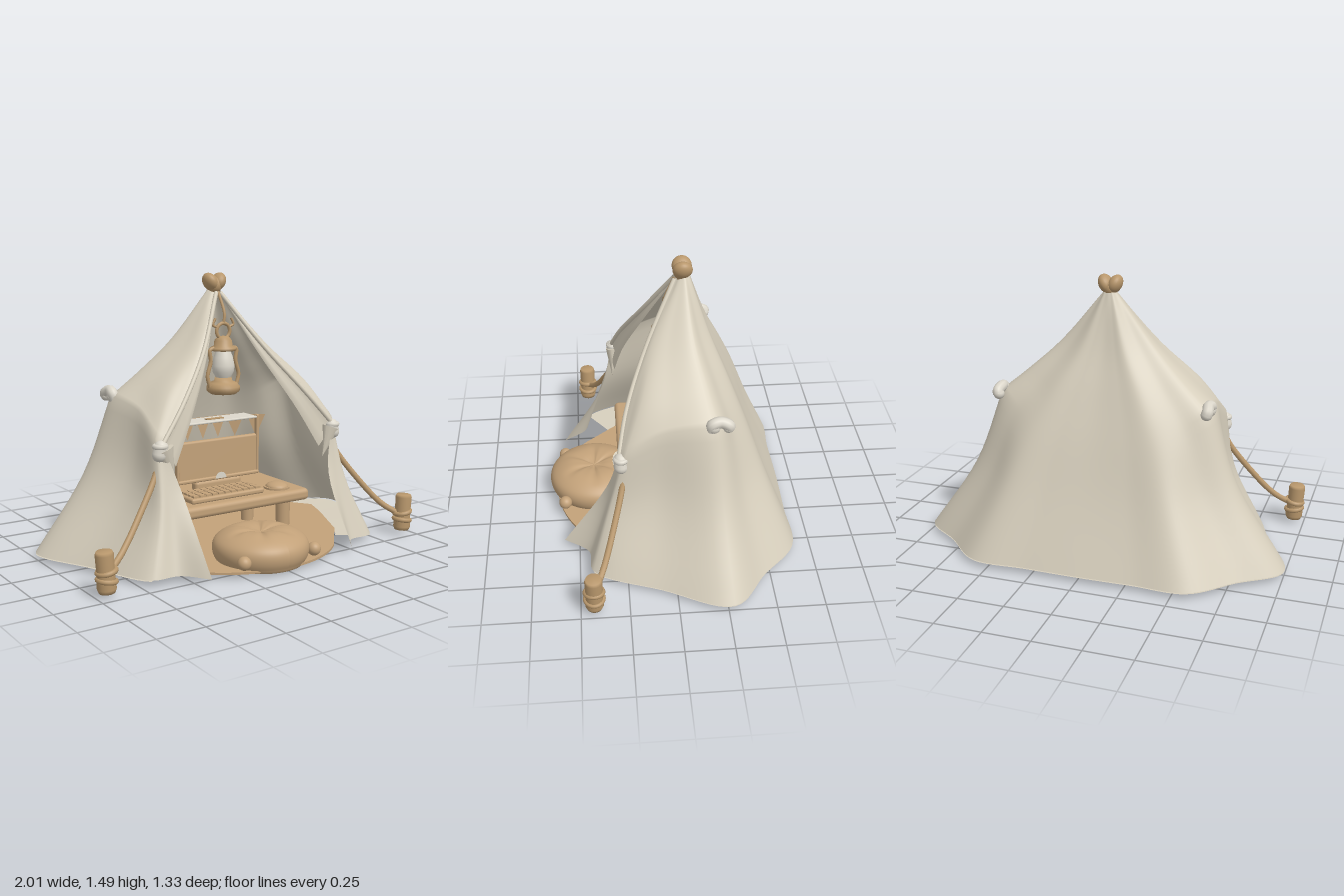
import * as THREE from 'three';
import { RoundedBoxGeometry } from 'three/addons/geometries/RoundedBoxGeometry.js';

const V = (x, y, z) => new THREE.Vector3(x, y, z);
const paint = (color, side = THREE.FrontSide) => new THREE.MeshStandardMaterial({ color, side });
const spline = pts => new THREE.CatmullRomCurve3(pts);

// Seam lines of the tent, from the peak down to the ground (left half, front edge to back centre)
const seams = [
  [V(.012, 1.38, -.05), V(.2, 1.08, .115), V(.39, .84, .225), V(.54, .66, .275), V(.466, .4, .345), V(.447, .03, .58)],
  [V(.02, 1.38, -.06), V(.22, 1.09, .1), V(.41, .86, .2), V(.55, .67, .265), V(.53, .4, .33), V(.55, .03, .45)],
  [V(.03, 1.385, -.07), V(.235, 1.1, .07), V(.44, .89, .155), V(.565, .69, .24), V(.595, .36, .33), V(.7, .03, .43)],
  [V(.035, 1.39, -.085), V(.24, 1.12, 0), V(.455, .92, .02), V(.56, .8, .06), V(.63, .42, .07), V(.86, .03, .08)],
  [V(.035, 1.395, -.1), V(.25, 1.135, -.13), V(.42, .97, -.18), V(.575, .84, -.22), V(.73, .43, -.245), V(1, .03, -.28)],
  [V(.02, 1.4, -.125), V(.115, 1.12, -.22), V(.23, .9, -.315), V(.335, .68, -.405), V(.445, .38, -.51), V(.58, .03, -.65)],
  [V(0, 1.4, -.13), V(0, 1.12, -.21), V(0, .9, -.3), V(0, .68, -.39), V(0, .38, -.505), V(0, .03, -.66)],
];
const between = (a, b) => a.map((p, i) => p.clone().lerp(b[i], .5));
const flip = p => V(-p.x, p.y, p.z);

// Front seams break at the tie height, back seams run smoothly to the ground
const sharp = c => [...spline(c.slice(0, 4)).getPoints(18), ...spline(c.slice(3)).getPoints(12).slice(1)];
const smooth = c => spline(c).getPoints(30);
const half = [
  ...seams.slice(0, 5).map(sharp),
  smooth(between(seams[4], seams[5])), smooth(seams[5]),
  smooth(between(seams[5], seams[6])), smooth(seams[6]),
];
const columns = [...half, ...half.slice(0, -1).reverse().map(c => c.map(flip))];
const tentRows = columns[0].map((_, j) => spline(columns.map(c => c[j])).getPoints(128));

// Skin a list of equally long rows of points
function skin(rows) {
  const n = rows[0].length, pos = [], idx = [];
  rows.forEach(r => r.forEach(p => pos.push(p.x, p.y, p.z)));
  for (let j = 0; j < rows.length - 1; j++) for (let i = 0; i < n - 1; i++) {
    const a = j * n + i, b = a + n;
    idx.push(a, a + 1, b, a + 1, b + 1, b);
  }
  const g = new THREE.BufferGeometry();
  g.setAttribute('position', new THREE.Float32BufferAttribute(pos, 3));
  g.setIndex(idx);
  g.computeVertexNormals();
  return g;
}

export function createModel() {
  const canvas = paint(0xd6cebc, THREE.DoubleSide);
  const pale = paint(0xdcd7cb, THREE.DoubleSide);
  const wood = paint(0xb8976c);
  const tan = paint(0xc2a179, THREE.DoubleSide);
  const root = new THREE.Group();
  const add = (name, geo, mat, x = 0, y = 0, z = 0, parent = root) => {
    const m = new THREE.Mesh(geo, mat);
    m.name = name;
    m.position.set(x, y, z);
    parent.add(m);
    return m;
  };
  const tube = (pts, r, n = 32) => new THREE.TubeGeometry(spline(pts), n, r, 10);
  const ball = r => new THREE.SphereGeometry(r, 24, 16);
  const box = (w, h, d, r) => new RoundedBoxGeometry(w, h, d, 3, r);
  const lathe = (pts, n = 32) => new THREE.LatheGeometry(pts.map(p => new THREE.Vector2(...p)), n);

  // Tent canvas and the turned-in hem on the ground
  add('tentCanvas', skin(tentRows), canvas);
  const base = tentRows[tentRows.length - 1];
  const rim = base.slice(16, 113).map(p => V(p.x, .024, p.z));
  add('groundHem', skin([rim, rim.map(p => V(p.x * .78, .02, (p.z + .1) * .78 - .1))]), canvas);

  // Floor mat: round in front, following the walls behind
  const side = [[.62, .22], [.77, -.1], [.83, -.26], [.7, -.44], [.53, -.58]];
  const arc = Array.from({ length: 25 }, (_, i) => {
    const a = -.75 + 1.5 * i / 24;
    return [Math.sin(a) * .62, Math.cos(a) * .62];
  });
  const outline = [...arc, ...side, ...side.map(([x, z]) => [-x, z]).reverse()];
  const mat = new THREE.ExtrudeGeometry(new THREE.Shape(outline.map(([x, z]) => new THREE.Vector2(x, -z))),
    { depth: .012, bevelEnabled: false });
  add('floorMat', mat.rotateX(-Math.PI / 2), tan, 0, .015, 0);

  // Heart finial on the peak
  for (const s of [-1, 1]) {
    const lobe = add('finialLobe', ball(.05), wood, s * .025, 1.435, -.09);
    lobe.scale.set(.74, 1.05, 1.04);
    lobe.rotation.z = -s * .5;
  }
  const heart = add('finialHeart', ball(.048), wood, 0, 1.418, -.09);
  heart.scale.x = .85;
  add('finialTip', new THREE.CylinderGeometry(.038, .022, .06, 24), wood, 0, 1.385, -.09);

  // Entrance hems, tie-backs, hooks, guy ropes and stakes on both sides
  for (const s of [1, -1]) {
    const rig = new THREE.Group();
    rig.name = s > 0 ? 'leftRigging' : 'rightRigging';
    root.add(rig);
    const at = (x, y, z) => V(s * x, y, z);
    const edge = seams[0].slice(0, 4).map(p => at(p.x, p.y, p.z));
    add('entranceHem', tube(edge, .012), canvas, 0, 0, 0, rig);
    // gathered drape hanging behind the entrance hem
    const drape = [0, 1, 2, 3].map(k => spline(edge.map((p, i) =>
      V(p.x - s * k * .009 * i, p.y - k * .014 * i, p.z - .012 * (k % 2)))).getPoints(24));
    add('gatheredDrape', skin(drape), canvas, 0, 0, 0, rig);
    const tail = add('drapeTail', new THREE.ConeGeometry(.055, .17, 12), canvas, s * .505, .555, .275, rig);
    tail.scale.z = .6;
    tail.rotation.z = Math.PI - s * .35;
    const tie = add('tieBack', new THREE.CapsuleGeometry(.038, .035, 6, 16), pale, s * .55, .625, .265, rig);
    tie.rotation.z = s * .25;
    const band = add('tieBand', new THREE.TorusGeometry(.028, .014, 8, 20), pale, s * .55, .65, .265, rig);
    band.rotation.x = Math.PI / 2;
    // hook folded over the ridge, thicker at the front
    add('canopyHook', tube([at(.565, .825, -.185), at(.575, .858, -.195), at(.57, .868, -.235),
      at(.575, .852, -.275), at(.57, .835, -.28)], .03), pale, 0, 0, 0, rig);
    add('hookFront', ball(.036), pale, s * .567, .842, -.2, rig);
    add('hookBack', ball(.03), pale, s * .57, .838, -.275, rig);
    add('guyRope', tube([at(.55, .59, .25), at(.575, .51, .26), at(.7, .33, .315),
      at(.83, .18, .375), at(.93, .11, .425)], .016), wood, 0, 0, 0, rig);
    const stake = add('stake', lathe([[0, 0], [.04, 0], [.048, .02], [.044, .1], [.046, .19], [.04, .205], [0, .205]], 20),
      wood, s * .942, .02, .43, rig);
    stake.rotation.z = -s * .06;
    [.08, .125].forEach((y, i) => {
      const loop = add('ropeLoop', new THREE.TorusGeometry(.045, .013, 8, 24), wood, s * .943, y, .43, rig);
      loop.rotation.set(Math.PI / 2, i ? .2 : -.15, 0);
    });
  }

  // Lantern hanging from the peak
  const lantern = new THREE.Group();
  lantern.name = 'lantern';
  lantern.position.set(0, .835, 0);
  root.add(lantern);
  add('lanternBase', lathe([[0, 0], [.07, 0], [.09, .015], [.092, .04], [.075, .06], [.05, .07], [.045, .09], [0, .09]]),
    wood, 0, 0, 0, lantern);
  add('lanternGlass', lathe([[.04, .085], [.058, .12], [.062, .155], [.052, .2], [.038, .24]]), pale, 0, 0, 0, lantern);
  add('lanternCap', lathe([[0, .235], [.068, .235], [.072, .25], [.05, .262], [.048, .29], [.03, .31], [0, .315]]),
    wood, 0, 0, 0, lantern);
  add('lanternRing', new THREE.TorusGeometry(.042, .01, 8, 28), wood, 0, .34, 0, lantern);
  add('lanternHook', tube([V(0, .375, 0), V(.008, .43, 0), V(0, .55, -.05)], .008), wood, 0, 0, 0, lantern);
  for (const s of [-1, 1]) {
    add('lanternArm', tube([V(s * .06, .25, 0), V(s * .085, .24, 0), V(s * .08, .18, 0), V(s * .1, .1, 0),
      V(s * .085, .04, 0)], .011), wood, 0, 0, 0, lantern);
    add('ringProng', tube([V(s * .035, .36, 0), V(s * .065, .375, 0), V(s * .05, .41, 0)], .007), wood, 0, 0, 0, lantern);
  }

  // Desk, with leg ends just showing under the mat
  add('deskTop', box(.85, .065, .55, .024), tan, -.028, .272, -.005);
  for (const x of [-.365, .308]) for (const z of [.14, -.21])
    add('deskLeg', new THREE.CylinderGeometry(.042, .036, .237, 20), tan, x, .1305, z);

  // Monitor: panel, thin raised frame and a flat shelf above an open gap
  add('monitorPanel', box(.52, .22, .03, .012), tan, -.025, .475, -.02);
  for (const x of [-.285, .235])
    add('monitorFrameSide', box(.018, .33, .03, .008), tan, x, .53, -.015);
  add('monitorFrameBottom', box(.53, .02, .045, .008), tan, -.025, .368, -.015);
  add('monitorShelf', box(.5, .012, .13, .005), pale, -.025, .682, -.06);
  add('shelfSlot', new THREE.BoxGeometry(.11, .006, .03), wood, -.025, .69, -.05);
  add('monitorBadge', new THREE.CircleGeometry(.035, 20, 0, Math.PI), pale, -.02, .365, .009);
  add('monitorStand', box(.3, .06, .06, .02), tan, -.025, .33, -.03);

  // Keyboard and mouse
  add('keyboard', box(.46, .03, .165, .012), tan, -.1, .317, .13);
  for (let r = 0; r < 4; r++) for (let c = 0; c < 11; c++)
    add('key', new THREE.BoxGeometry(.033, .012, .028), tan, -.295 + c * .039, .336, .075 + r * .036);
  add('mousePad', new THREE.CylinderGeometry(.072, .072, .012, 32), tan, .25, .309, .16);
  add('mouse', ball(.06), tan, .25, .313, .16).scale.set(1, .45, 1.1);

  // Tufted floor cushion
  const profile = new THREE.SplineCurve([[0, 0], [.2, 0], [.24, .03], [.255, .08], [.243, .125], [.2, .16],
    [.14, .182], [.08, .182], [.03, .168], [0, .162]].map(p => new THREE.Vector2(...p)));
  const cushion = new THREE.LatheGeometry(profile.getPoints(40), 64);
  const p = cushion.attributes.position;
  for (let i = 0; i < p.count; i++) {
    const r = Math.hypot(p.getX(i), p.getZ(i)), a = Math.atan2(p.getZ(i), p.getX(i));
    const crease = Math.pow(Math.abs(Math.cos(a * 3)), 8) * Math.sin(Math.PI * Math.min(1, r / .2));
    if (p.getY(i) > .1) p.setY(i, p.getY(i) - .01 * crease);
  }
  cushion.computeVertexNormals();
  add('cushion', cushion, tan, -.033, 0, .405);
  for (const x of [-.253, .188]) add('cushionKnob', ball(.036), tan, x, .075, .575);

  // Bunting on the inside of the back wall
  const flag = new THREE.ShapeGeometry(new THREE.Shape([[-.055, .06], [0, -.07], [.055, .06]]
    .map(q => new THREE.Vector2(...q))));
  for (let i = -4; i <= 4; i++) {
    const x = i * .105;
    const f = add('buntingFlag', flag, tan, x, .575, -.375 + Math.max(0, Math.abs(x) - .28) * .65);
    f.rotation.y = Math.abs(x) > .28 ? -Math.sign(x) * .55 : 0;
  }
  return root;
}
